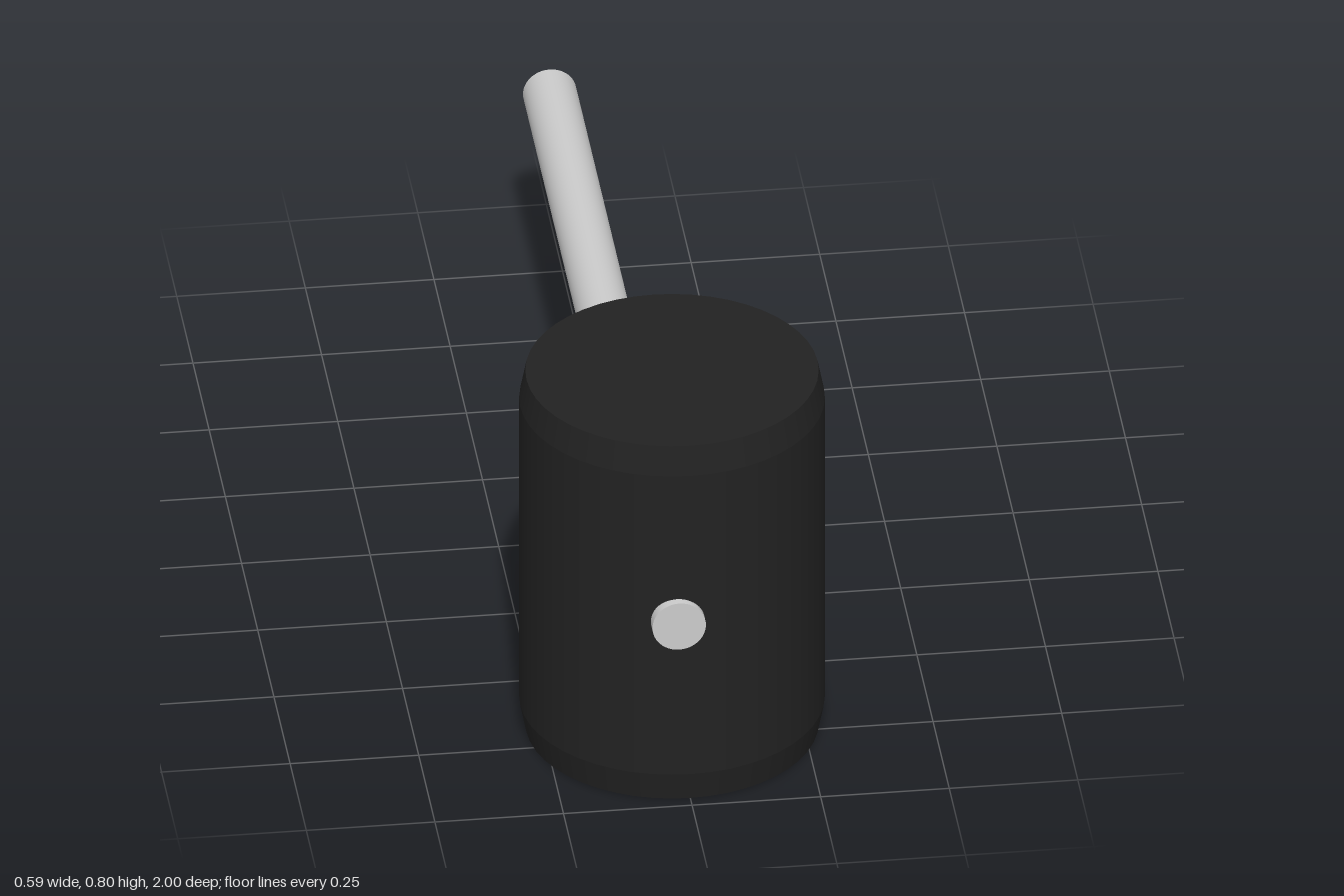
import * as THREE from 'three';
import { mergeGeometries } from 'three/addons/utils/BufferGeometryUtils.js';

const SEGMENTS = 48;

// Lathe whose profile segments stay sharp from one another but smooth around the axis
function sharpLathe(profile) {
  const bands = [];
  for (let i = 0; i < profile.length - 1; i++) {
    const pair = [profile[i], profile[i + 1]].map(([r, y]) => new THREE.Vector2(r, y));
    bands.push(new THREE.LatheGeometry(pair, SEGMENTS));
  }
  return mergeGeometries(bands);
}

export function createModel() {
  const rubber = new THREE.MeshStandardMaterial({ color: 0x222222 });
  rubber.name = 'black rubber';
  const handleGrey = new THREE.MeshStandardMaterial({ color: 0xcccccc });
  handleGrey.name = 'light grey';

  const model = new THREE.Group();
  model.name = 'mallet';

  // Upright head with a shallow bevel at both striking faces
  const head = new THREE.Mesh(sharpLathe([
    [0, 0], [0.283, 0], [0.295, 0.061], [0.295, 0.734], [0.283, 0.795], [0, 0.795],
  ]), rubber);
  head.name = 'head';
  head.position.z = 0.69;

  // Handle passes through the head, slightly off centre, and pokes out at the front
  const handle = new THREE.Mesh(new THREE.CylinderGeometry(0.052, 0.052, 2, SEGMENTS), handleGrey);
  handle.name = 'handle';
  handle.rotation.x = Math.PI / 2;
  handle.position.set(-0.025, 0.405, 0);

  model.add(head, handle);
  return model;
}
